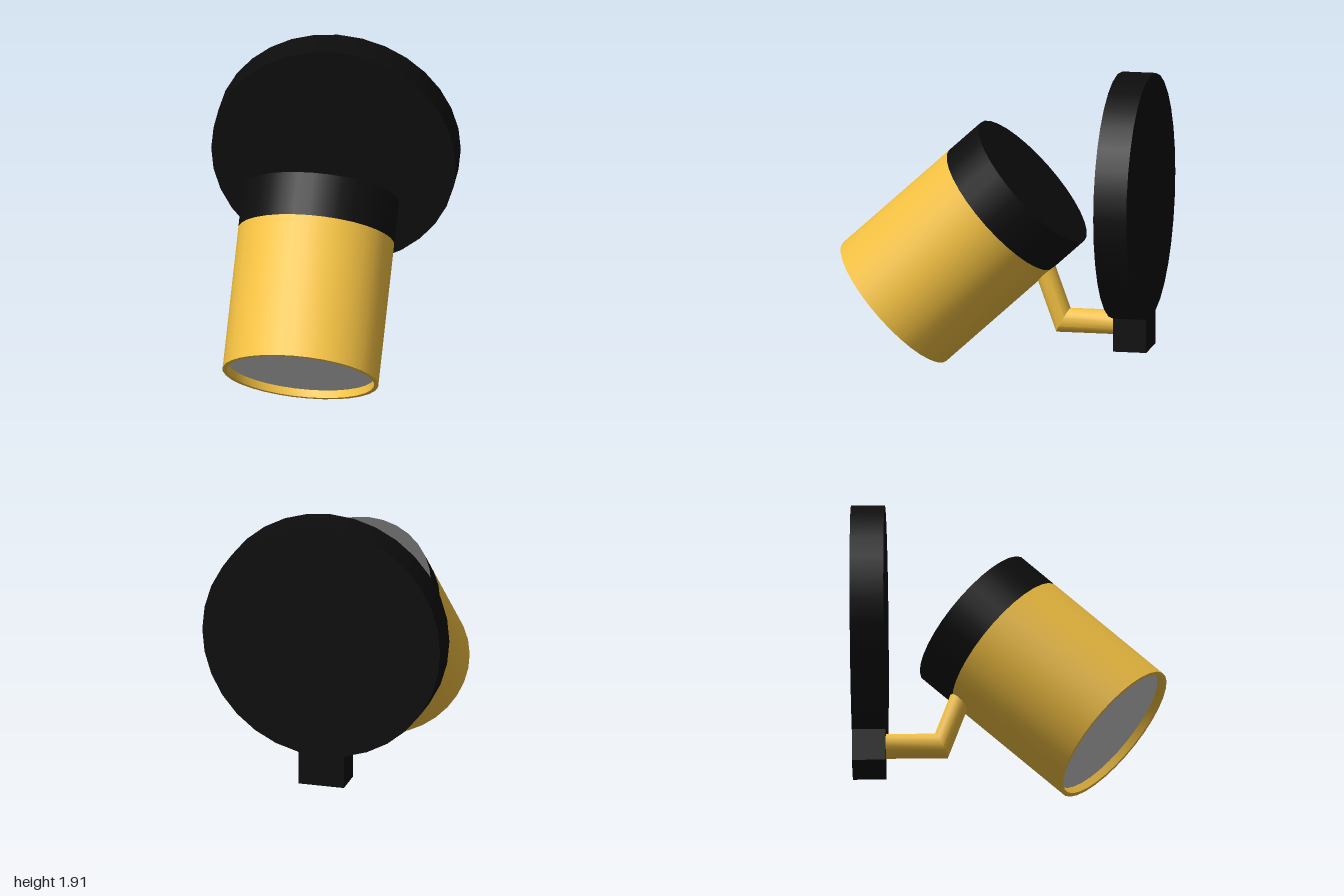
import * as THREE from 'three';
import { toCreasedNormals } from 'three/addons/utils/BufferGeometryUtils.js';

const gold = new THREE.MeshStandardMaterial({ color: 0xf2c042 });
const black = new THREE.MeshStandardMaterial({ color: 0x0d0d0d });
const grey = new THREE.MeshStandardMaterial({ color: 0xcccccc });

function part(name, geometry, material, parent) {
  const mesh = new THREE.Mesh(geometry, material);
  mesh.name = name;
  parent.add(mesh);
  return mesh;
}

// Skin joining rings of points; each ring is an array of [x, y, z]
function loft(rings) {
  const n = rings[0].length;
  const index = [];
  for (let r = 0; r < rings.length - 1; r++) {
    for (let i = 0; i < n; i++) {
      const a = r * n + i, b = r * n + (i + 1) % n;
      index.push(a, b, b + n, a, b + n, a + n);
    }
  }
  const g = new THREE.BufferGeometry();
  g.setAttribute('position', new THREE.Float32BufferAttribute(rings.flat(2), 3));
  g.setIndex(index);
  return toCreasedNormals(g, 0.5);
}

export function createModel() {
  const model = new THREE.Group();
  model.name = 'wallSpotlight';

  // Wall plate with a square tab at its lower edge
  const plate = part('wallPlate', new THREE.CylinderGeometry(0.787, 0.787, 0.215, 32), black, model);
  plate.rotation.x = Math.PI / 2;
  plate.position.set(0, 1.128, -0.8925);
  const tab = part('plateTab', new THREE.BoxGeometry(0.3, 0.3, 0.214), black, model);
  tab.position.set(0, 0.29, -0.8925);

  // Bent arm: straight out of the tab, mitred, then up into the lamp body
  const r = 0.079, sides = 16;
  const ring = (place) => Array.from({ length: sides }, (_, i) => {
    const a = (i / sides) * Math.PI * 2;
    return place(r * Math.cos(a), r * Math.sin(a));
  });
  const armY = 0.302;
  const bend = (x, v) => [x, armY + v, -0.4325 - 0.55 * v];
  const start = ring((x, v) => [x, armY + v, -0.8]);
  const elbow = ring(bend);
  const end = ring((x, v) => {
    const [bx, by, bz] = bend(x, v);
    return [bx, by + 0.36, bz + 0.13];
  });
  part('arm', loft([start, elbow, end]), gold, model);

  // Tilted lamp head; local y runs from the back cap to the open front
  const head = new THREE.Group();
  head.name = 'lampHead';
  head.position.set(0, 1.1925, -0.2325);
  head.rotation.x = 2.312;
  model.add(head);

  const cap = part('backCap', new THREE.CylinderGeometry(0.5, 0.5, 0.28, 32), black, head);
  cap.position.y = 0.14;

  const profile = [[0.5, 0.28], [0.5, 1.214], [0.472, 1.214], [0.467, 1.16]]
    .map(([x, y]) => new THREE.Vector2(x, y));
  part('lampBody', toCreasedNormals(new THREE.LatheGeometry(profile, 32), 0.6), gold, head);

  // Recessed lens
  const lens = part('lens', new THREE.CircleGeometry(0.47, 32), grey, head);
  lens.rotation.x = -Math.PI / 2;
  lens.position.y = 1.165;

  return model;
}
